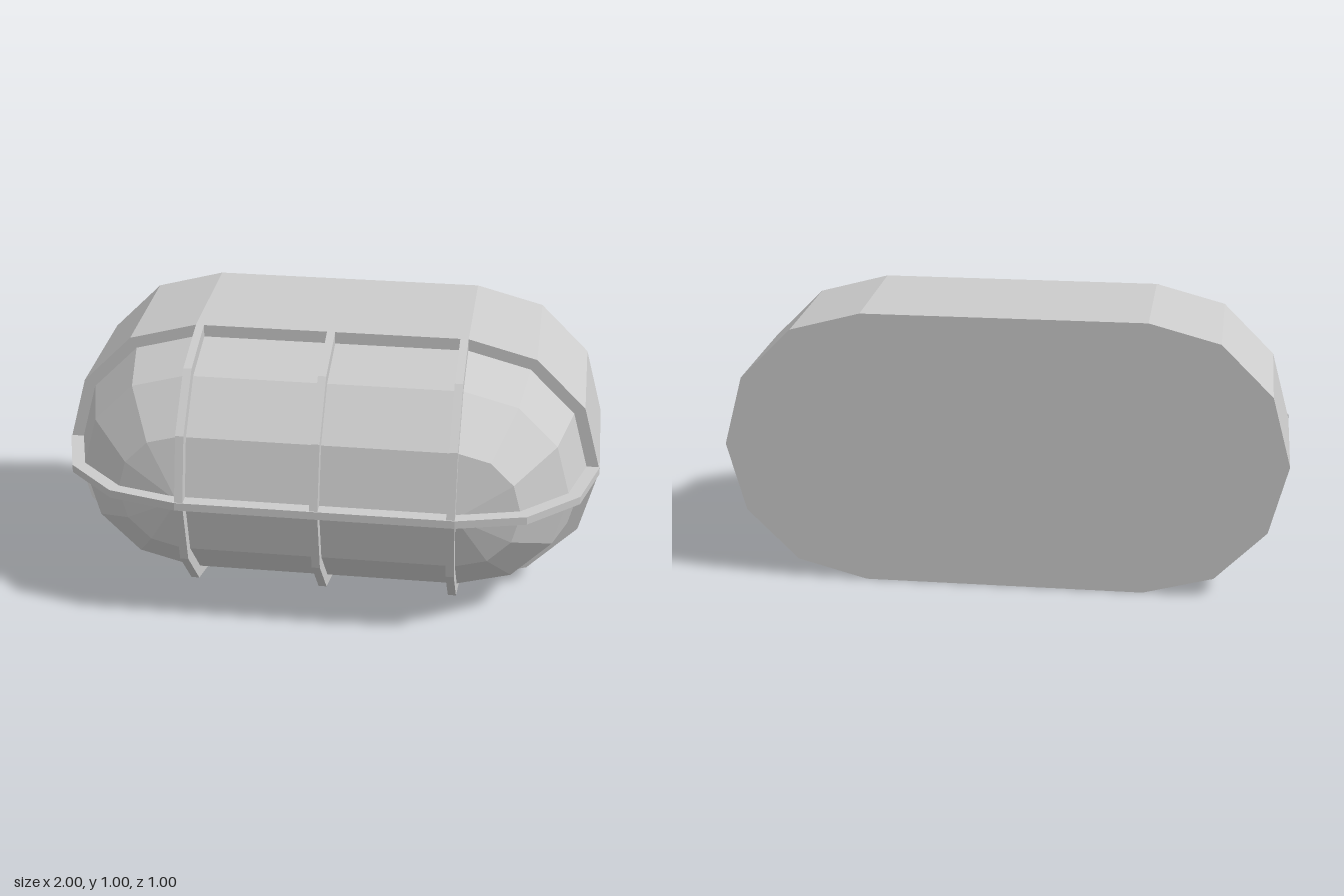
import * as THREE from 'three';

const HALF = 0.5;   // half length of the straight middle
const MID_Y = 0.5;  // height of the long axis
const SEAT_Z = 0.02; // plane where the glass and guard meet the housing

// Half oval from +x over the top to -x: two faceted quarter rounds and a straight run
function arch(half, rx, ry) {
  const points = [];
  for (let i = 0; i <= 3; i++) {
    const a = (i * Math.PI) / 6;
    points.push(new THREE.Vector2(half + rx * Math.cos(a), ry * Math.sin(a)));
  }
  const mirrored = points.map((p) => new THREE.Vector2(-p.x, p.y)).reverse();
  if (half === 0) mirrored.shift();
  return points.concat(mirrored);
}

// Complete counter-clockwise oval of 14 points
function oval(r) {
  const top = arch(HALF, r, r);
  const bottom = top.slice(1, -1).map((p) => new THREE.Vector2(p.x, -p.y)).reverse();
  return top.concat(bottom);
}

// Faceted glass lofted through shrinking ovals to a front ridge
function domeGeometry() {
  const rings = [0, 1, 2, 3].map((i) => {
    const a = (i * Math.PI) / 6;
    const z = SEAT_Z + 0.435 * Math.sin(a);
    const r = i === 3 ? 0 : 0.455 * Math.cos(a);
    return oval(r).map((p) => new THREE.Vector3(p.x, p.y, z));
  });
  const corners = [];
  for (let k = 0; k < 3; k++) {
    const n = rings[k].length;
    for (let i = 0; i < n; i++) {
      const j = (i + 1) % n;
      const [a, b, c, d] = [rings[k][i], rings[k][j], rings[k + 1][j], rings[k + 1][i]];
      corners.push(a, b, c);
      if (c.distanceTo(d) > 1e-6) corners.push(a, c, d);
    }
  }
  const geometry = new THREE.BufferGeometry().setFromPoints(corners);
  geometry.computeVertexNormals();
  return geometry;
}

// Flat guard bar bent over the glass, lying in the horizontal plane
function barGeometry(half) {
  const width = 0.03;
  const outer = arch(half, 0.5, 0.48);
  const inner = arch(half, 0.44, 0.42).reverse();
  const geometry = new THREE.ExtrudeGeometry(new THREE.Shape(outer.concat(inner)), {
    depth: width, bevelEnabled: false,
  });
  return geometry.translate(0, 0, -width / 2).rotateX(Math.PI / 2);
}

export function createModel() {
  const group = new THREE.Group();
  const material = new THREE.MeshStandardMaterial({ color: 0xcccccc, flatShading: true });
  const add = (name, geometry, x, y, z) => {
    const mesh = new THREE.Mesh(geometry, material);
    mesh.name = name;
    mesh.position.set(x, y, z);
    group.add(mesh);
  };

  // Solid oval housing
  const housing = new THREE.ExtrudeGeometry(new THREE.Shape(oval(0.5)), {
    depth: 0.5 + SEAT_Z, bevelEnabled: false,
  });
  add('housing', housing, 0, MID_Y, -0.5);

  // Glass
  add('glassDome', domeGeometry(), 0, MID_Y, 0);

  // Guard: one long bar and three cross bars
  add('longGuardBar', barGeometry(HALF), 0, MID_Y, SEAT_Z);
  const crossBar = barGeometry(0).rotateZ(Math.PI / 2);
  [['right', -0.485], ['middle', 0], ['left', 0.485]].forEach(([side, x]) =>
    add(side + 'CrossGuardBar', crossBar, x, MID_Y, SEAT_Z));

  return group;
}
